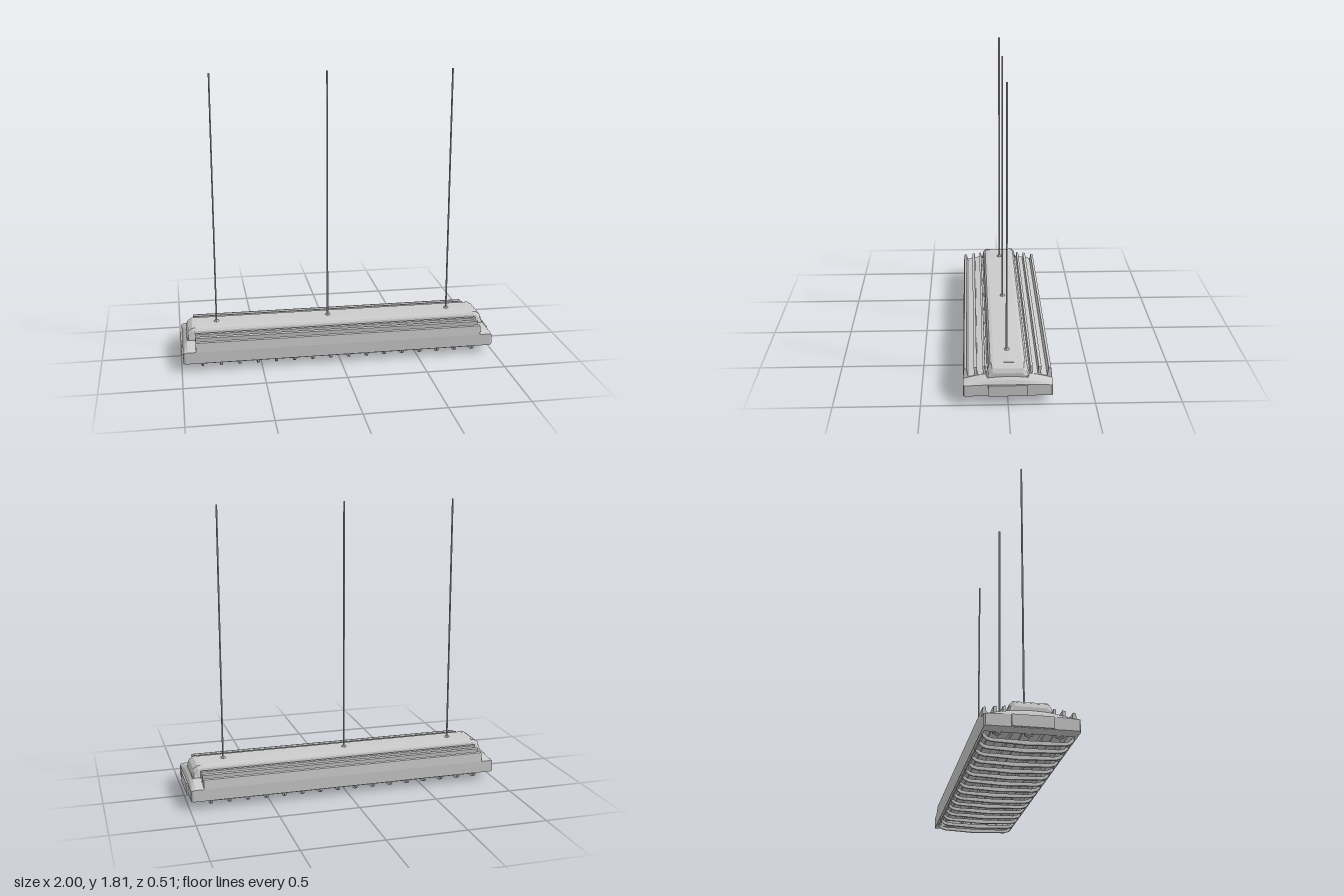
import * as THREE from 'three';

const grey = new THREE.MeshStandardMaterial({ color: 0xcccccc, flatShading: true });

function add(parent, name, geometry, x = 0, y = 0, z = 0) {
  const m = new THREE.Mesh(geometry, grey);
  m.name = name;
  m.position.set(x, y, z);
  parent.add(m);
  return m;
}

// Mirror half of a (z, y) outline across z = 0
function mirrored(half) {
  const other = half.filter(p => p[0] > 0).map(([z, y]) => [-z, y]).reverse();
  return [...half, ...other];
}

// Extrude a symmetric (z, y) outline along x, centred on the origin
function extrudeX(outline, length) {
  const shape = new THREE.Shape(outline.map(p => new THREE.Vector2(...p)));
  const g = new THREE.ExtrudeGeometry(shape, { depth: length, bevelEnabled: false });
  return g.translate(0, 0, -length / 2).rotateY(Math.PI / 2);
}

// Skin convex (z, y) rings placed at rising x, closing both ends
function loft(sections) {
  const pos = [];
  const n = sections[0].ring.length;
  const put = (s, j) => {
    const [z, y] = sections[s].ring[j % n];
    pos.push(sections[s].x, y, z);
  };
  const last = sections.length - 1;
  for (let s = 0; s < last; s++) for (let j = 0; j < n; j++) {
    put(s, j); put(s, j + 1); put(s + 1, j + 1);
    put(s, j); put(s + 1, j + 1); put(s + 1, j);
  }
  for (let j = 1; j < n - 1; j++) {
    put(last, 0); put(last, j); put(last, j + 1);
    put(0, 0); put(0, j + 1); put(0, j);
  }
  const g = new THREE.BufferGeometry();
  g.setAttribute('position', new THREE.Float32BufferAttribute(pos, 3));
  g.computeVertexNormals();
  return g;
}

// End cap cross-section with an arched top
function archRing(w, bottom, edge, crown) {
  const ring = [[w, bottom], [-w, bottom]];
  for (let i = 0; i <= 12; i++) {
    const t = -1 + i / 6;
    ring.push([w * t, edge + (crown - edge) * (1 - t * t)]);
  }
  return ring;
}

// Hood cross-section with chamfered shoulders
function hoodRing(w, top) {
  return [[w, 0.12], [-w, 0.12], [-w, 0.158], [-w + 0.013, top - 0.018],
    [-w + 0.03, top], [w - 0.03, top], [w - 0.013, top - 0.018], [w, 0.158]];
}

function endCap() {
  const g = new THREE.Group();
  g.name = 'endCap';
  add(g, 'capShell', loft([
    { x: 0.91, ring: archRing(0.257, 0.05, 0.125, 0.162) },
    { x: 0.962, ring: archRing(0.257, 0.05, 0.125, 0.16) },
    { x: 0.978, ring: archRing(0.257, 0.05, 0.122, 0.145) },
    { x: 0.99, ring: archRing(0.25, 0.053, 0.118, 0.124) },
  ]));
  add(g, 'capHood', loft([
    { x: 0.905, ring: hoodRing(0.124, 0.224) },
    { x: 0.925, ring: hoodRing(0.124, 0.222) },
    { x: 0.95, ring: hoodRing(0.12, 0.205) },
    { x: 0.962, ring: hoodRing(0.115, 0.18) },
  ]));
  add(g, 'capPanel', new THREE.BoxGeometry(0.02, 0.066, 0.226), 0.99, 0.088, 0);
  // Lamp sockets under the end
  for (const z of [-0.17, 0, 0.17]) {
    add(g, 'socket', new THREE.BoxGeometry(0.035, 0.03, 0.045), 0.885, 0.067, z);
    add(g, 'socketScrew', new THREE.SphereGeometry(0.014, 10, 6), 0.88, 0.055, z);
  }
  return g;
}

export function createModel() {
  const model = new THREE.Group();
  model.name = 'pendantLight';

  // Finned housing, open underneath
  const half = [
    [0, 0.225], [0.08, 0.223], [0.1, 0.219], [0.111, 0.207], [0.118, 0.158], [0.127, 0.156],
    [0.13, 0.2], [0.144, 0.197], [0.141, 0.152], [0.174, 0.147],
    [0.178, 0.196], [0.195, 0.192], [0.19, 0.144], [0.228, 0.138],
    [0.236, 0.187], [0.251, 0.183], [0.257, 0.125], [0.257, 0.05],
    [0.242, 0.05], [0.228, 0.085], [0, 0.085],
  ];
  add(model, 'housing', extrudeX(mirrored(half), 1.822));

  // Lengthwise dividers and lamp strips in the recess
  for (const z of [-0.085, 0.085])
    add(model, 'divider', new THREE.BoxGeometry(1.8, 0.022, 0.012), 0, 0.076, z);
  for (const z of [-0.17, 0, 0.17])
    add(model, 'lampStrip', new THREE.BoxGeometry(1.76, 0.012, 0.05), 0, 0.081, z);

  // End caps
  for (const turn of [0, Math.PI]) {
    const cap = endCap();
    cap.rotation.y = turn;
    model.add(cap);
  }

  // Guard: bent bars joined by two side rails
  const guard = new THREE.Group();
  guard.name = 'guard';
  const bar = extrudeX(mirrored([
    [0, 0.025], [0.1, 0.027], [0.19, 0.028], [0.22, 0.035], [0.236, 0.055],
    [0.25, 0.055], [0.243, 0.035], [0.225, 0.018], [0.2, 0.01], [0.1, 0.006], [0, 0.001],
  ]), 0.014);
  for (let i = 0; i < 16; i++) add(guard, 'guardBar', bar, -0.87 + i * 0.1157);
  for (const z of [-0.238, 0.238])
    add(guard, 'guardRail', new THREE.BoxGeometry(1.75, 0.01, 0.012), 0, 0.048, z);
  model.add(guard);

  // Suspension rods
  for (const x of [-0.768, -0.047, 0.748]) {
    add(model, 'rodFoot', new THREE.CylinderGeometry(0.01, 0.018, 0.012, 4), x, 0.23, 0);
    add(model, 'rod', new THREE.CylinderGeometry(0.0055, 0.0055, 1.59, 6), x, 1.02, 0);
  }
  return model;
}
